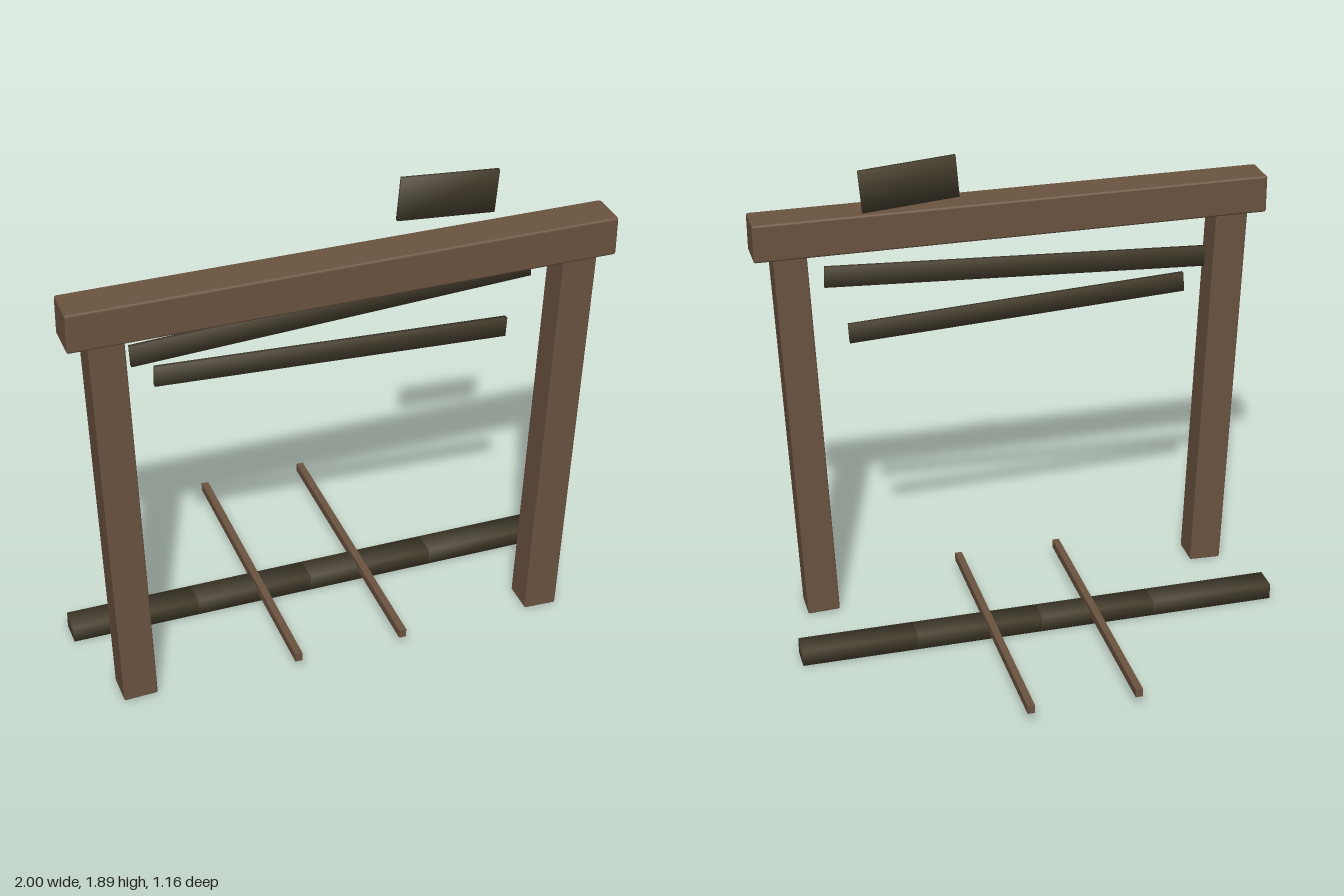
import * as THREE from 'three';
import { RoundedBoxGeometry } from 'three/addons/geometries/RoundedBoxGeometry.js';

export function createModel() {
  const model = new THREE.Group();
  model.name = 'timberGate';
  const timber = new THREE.MeshStandardMaterial({ color: 0x6b5340 });
  timber.name = 'brown timber';
  const darkWood = new THREE.MeshStandardMaterial({ color: 0x4b4332 });
  darkWood.name = 'dark weathered wood';

  function add(name, geometry, material, x, y, z, tilt = 0) {
    const mesh = new THREE.Mesh(geometry, material);
    mesh.name = name;
    mesh.position.set(x, y, z);
    mesh.rotation.z = tilt;
    model.add(mesh);
    return mesh;
  }

  // Box with normals averaged at each corner, for softly shaded planks
  function softBox(w, h, d) {
    const g = new THREE.BoxGeometry(w, h, d);
    const p = g.attributes.position;
    const n = g.attributes.normal;
    const k = 1 / Math.sqrt(3);
    for (let i = 0; i < p.count; i++) {
      n.setXYZ(i, Math.sign(p.getX(i)) * k, Math.sign(p.getY(i)) * k, Math.sign(p.getZ(i)) * k);
    }
    return g;
  }

  // Leaning posts and the top beam
  for (const side of [-1, 1]) {
    add(side < 0 ? 'rightPost' : 'leftPost', new RoundedBoxGeometry(0.128, 1.58, 0.128, 2, 0.006),
      timber, side * 0.835, 0.794, 0.461, side * -0.039);
  }
  add('topBeam', new RoundedBoxGeometry(2, 0.148, 0.148, 2, 0.009), timber, 0, 1.609, 0.457);

  // Crooked boards behind the opening
  add('upperBoard', softBox(1.492, 0.08, 0.018), darkWood, -0.002, 1.422, 0.374, 0.05);
  add('lowerBoard', softBox(1.325, 0.076, 0.018), darkWood, -0.002, 1.253, 0.374, -0.05);

  // Tilted plaque above the beam
  add('plaque', softBox(0.368, 0.164, 0.014), darkWood, 0.415, 1.797, 0.367, -0.08);

  // Row of floor planks laid end to end
  const joints = [-0.955, -0.46, 0, 0.5, 0.952];
  for (let i = 0; i < 4; i++) {
    add('floorPlank' + (i + 1), softBox(joints[i + 1] - joints[i], 0.064, 0.102), darkWood,
      (joints[i] + joints[i + 1]) / 2, 0.033, 0.08);
  }

  // Long thin runners across the planks
  for (const side of [-1, 1]) {
    add(side < 0 ? 'rightRunner' : 'leftRunner', new THREE.BoxGeometry(0.028, 0.034, 1.164),
      timber, side * 0.208, 0.068, -0.003);
  }
  return model;
}
